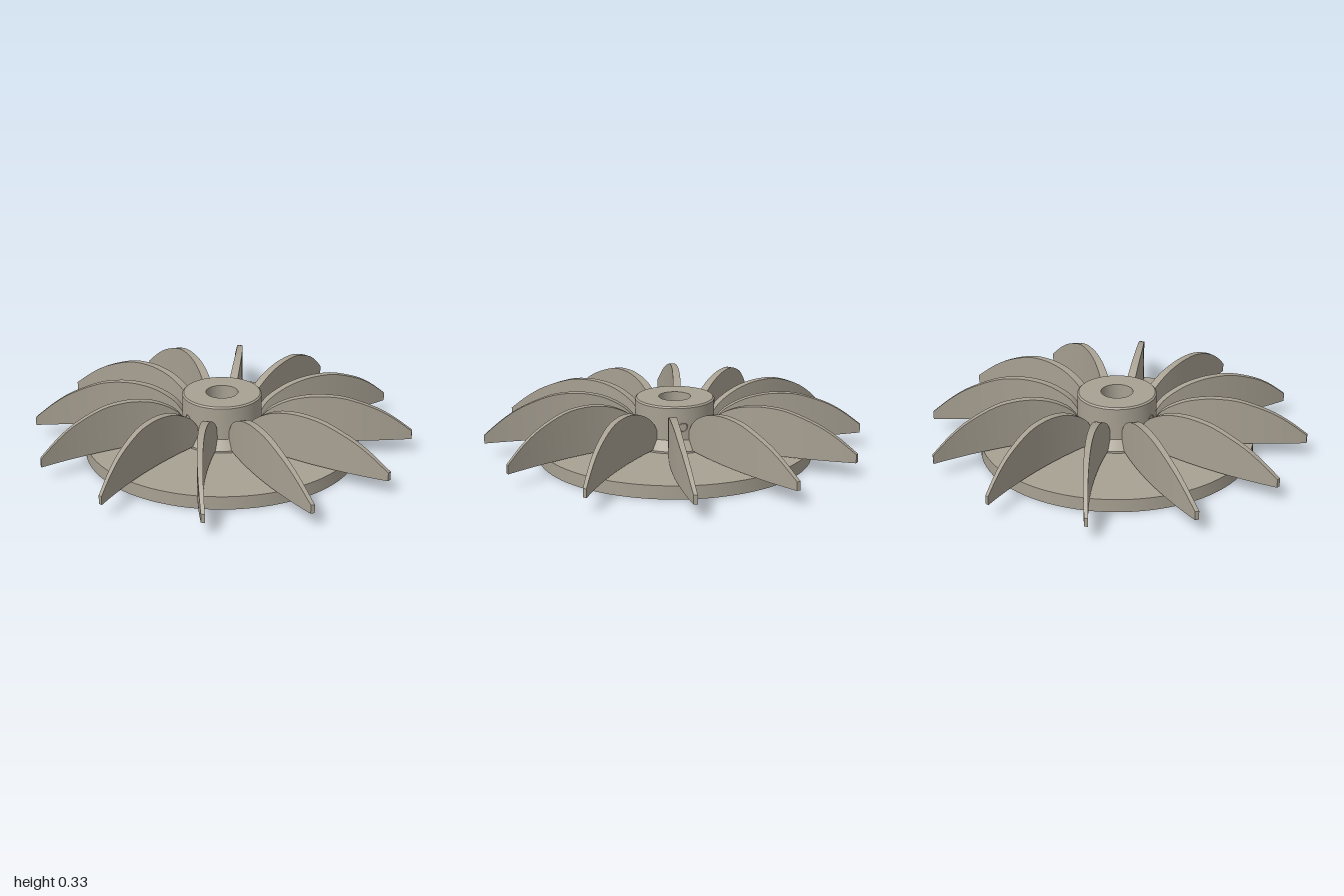
import * as THREE from 'three';
import { toCreasedNormals } from 'three/addons/utils/BufferGeometryUtils.js';

const BLADES = 12;

function lathe(points) {
  const profile = points.map(([r, y]) => new THREE.Vector2(r, y));
  return toCreasedNormals(new THREE.LatheGeometry(profile, 96), 0.5);
}

// Curved vane: a side outline extruded to unit thickness, tapered and bent by radius.
function bladeGeometry() {
  const root = 0.19, tip = 0.998, base = 0.08, steps = 32;
  const crest = new THREE.SplineCurve([
    [root, 0.15], [0.25, 0.235], [0.35, 0.295], [0.45, 0.323], [0.55, 0.33],
    [0.66, 0.317], [0.8, 0.265], [0.9, 0.205], [tip, 0.125],
  ].map(([r, y]) => new THREE.Vector2(r, y)));
  const top = crest.getPoints(steps);

  // Four corners per cross-section: left bottom, right bottom, right top, left top.
  const positions = [], index = [];
  for (const { x: r, y } of top) {
    const t = (r - root) / (tip - root);
    const half = 0.024 - 0.014 * t;
    const bend = 0.225 * Math.max(0, r - 0.2) ** 2;
    positions.push(bend - half, base, r, bend + half, base, r, bend + half, y, r, bend - half, y, r);
  }
  for (let i = 0; i < steps; i++) {
    for (let k = 0; k < 4; k++) {
      const a = i * 4 + k, b = i * 4 + (k + 1) % 4;
      index.push(a, b, b + 4, a, b + 4, a + 4);
    }
  }
  const e = steps * 4;
  index.push(0, 2, 1, 0, 3, 2, e, e + 1, e + 2, e, e + 2, e + 3);

  const geometry = new THREE.BufferGeometry();
  geometry.setAttribute('position', new THREE.Float32BufferAttribute(positions, 3));
  geometry.setIndex(index);
  return toCreasedNormals(geometry, 0.5);
}

export function createModel() {
  const model = new THREE.Group();
  model.name = 'impeller';
  const metal = new THREE.MeshStandardMaterial({ color: 0xa8a193 });
  metal.name = 'warm grey';

  const add = (name, geometry, parent = model) => {
    const mesh = new THREE.Mesh(geometry, metal);
    mesh.name = name;
    parent.add(mesh);
    return mesh;
  };

  // Solid round back plate
  add('backPlate', lathe([[0, 0], [0.73, 0], [0.73, 0.07], [0, 0.07]]));

  // Hub with flared foot, slightly eased rim and blind shaft bore
  add('hub', lathe([
    [0.25, 0.07], [0.25, 0.08], [0.21, 0.13], [0.21, 0.302], [0.202, 0.31],
    [0.085, 0.31], [0.085, 0.072], [0, 0.072],
  ]));

  // Evenly spaced swept blades
  const blades = new THREE.Group();
  blades.name = 'blades';
  model.add(blades);
  const blade = bladeGeometry();
  for (let i = 0; i < BLADES; i++) {
    add('blade', blade, blades).rotation.y = (i / BLADES) * Math.PI * 2;
  }

  // Set screws on opposite sides of the hub, midway between blades
  for (const angle of [105, 285]) {
    const pivot = new THREE.Group();
    pivot.name = 'setScrew';
    pivot.rotation.y = THREE.MathUtils.degToRad(angle);
    model.add(pivot);
    const rim = add('screwRim', new THREE.TorusGeometry(0.022, 0.003, 8, 24), pivot);
    rim.position.set(0, 0.2, 0.209);
  }
  return model;
}
